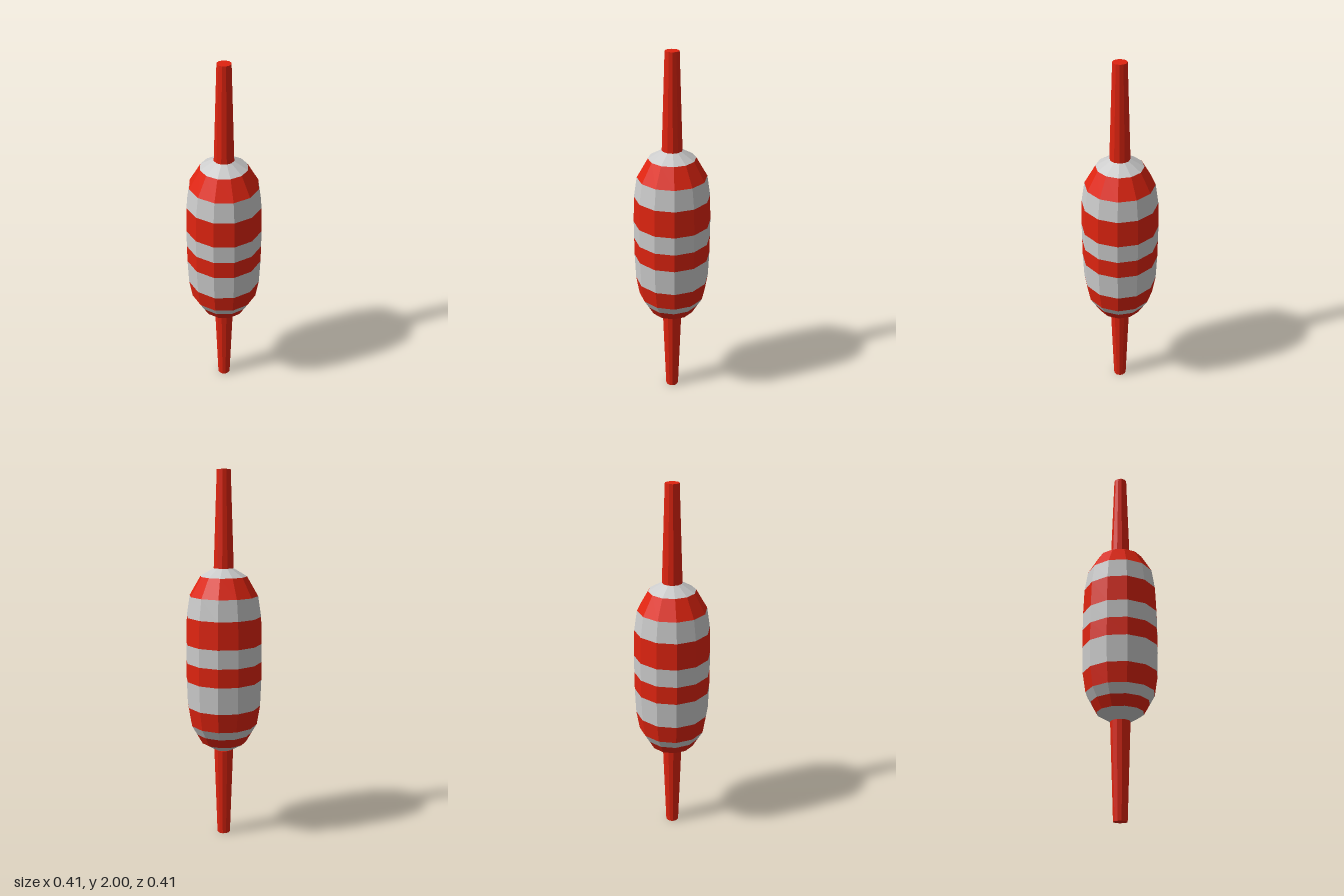
import * as THREE from 'three';

const SIDES = 12;
const red = new THREE.MeshStandardMaterial({ color: 0xe02410, flatShading: true });
const grey = new THREE.MeshStandardMaterial({ color: 0xcccccc, flatShading: true });

// Body rings from bottom to top: [radius, height]
const RINGS = [
  [0.05, 0.5], [0.124, 0.545], [0.155, 0.6], [0.183, 0.65], [0.2, 0.755], [0.205, 0.9],
  [0.205, 1.0], [0.205, 1.1], [0.2, 1.245], [0.183, 1.355], [0.124, 1.457], [0.05, 1.5],
];

function add(group, name, geometry, material) {
  const mesh = new THREE.Mesh(geometry, material);
  mesh.name = name;
  group.add(mesh);
  return mesh;
}

export function createModel() {
  const model = new THREE.Group();
  model.name = 'stripedFloat';

  // Faceted barrel body, one band per pair of rings, alternating grey and red
  const body = new THREE.Group();
  body.name = 'body';
  model.add(body);
  for (let i = 0; i < RINGS.length - 1; i++) {
    const points = [RINGS[i], RINGS[i + 1]].map(([r, y]) => new THREE.Vector2(r, y));
    const isRed = i % 2 === 1;
    add(body, (isRed ? 'redBand' : 'greyBand') + i, new THREE.LatheGeometry(points, SIDES), isRed ? red : grey);
  }

  // Tapered stems, narrow at the outer ends
  const stem = (top, bottom) => new THREE.CylinderGeometry(top, bottom, 0.5, SIDES);
  add(model, 'upperStem', stem(0.036, 0.053), red).position.y = 1.75;
  add(model, 'lowerStem', stem(0.053, 0.036), red).position.y = 0.25;

  return model;
}
